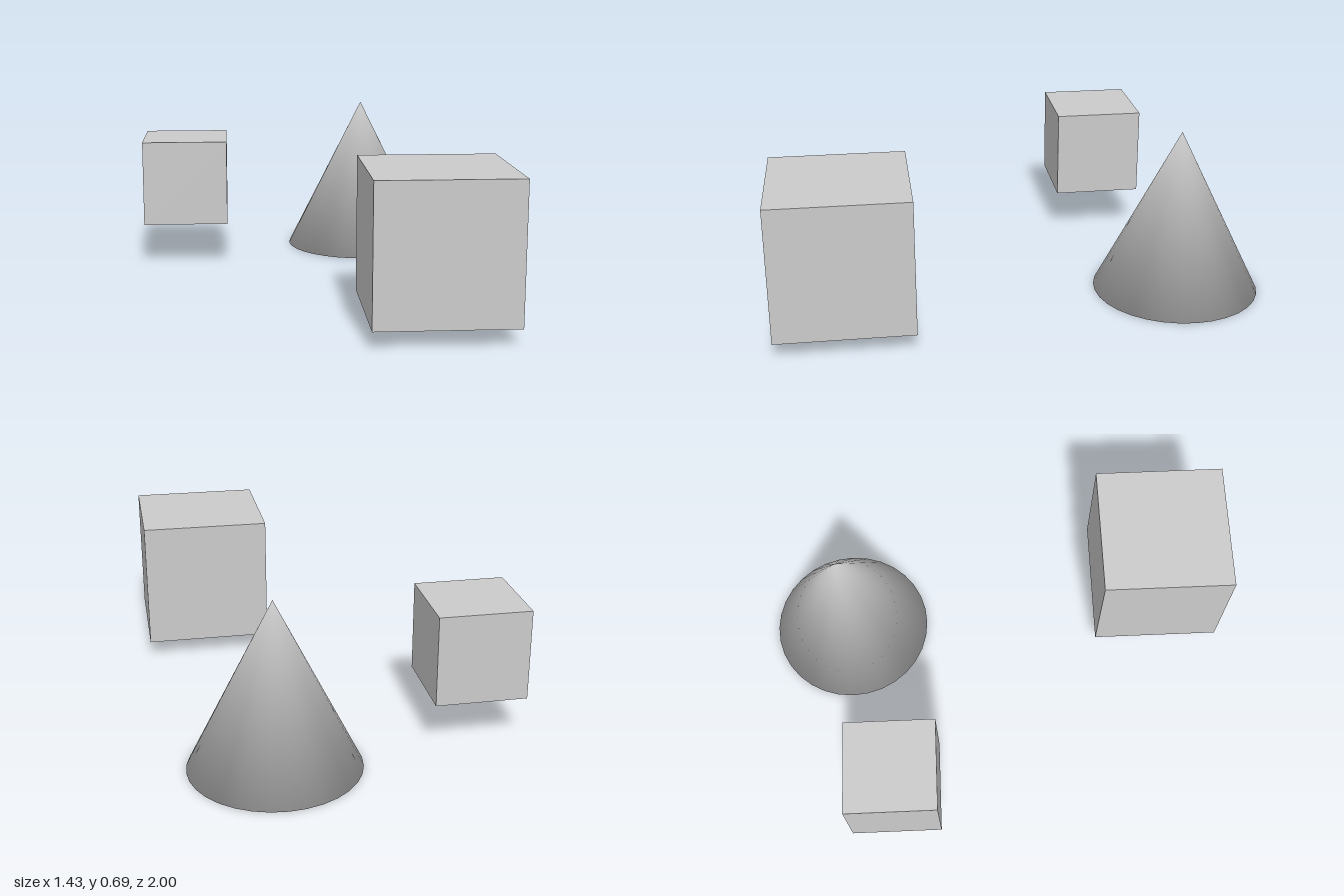
import * as THREE from 'three';

const material = new THREE.MeshStandardMaterial({ color: 0xcccccc });

function addMesh(group, name, geometry, x, y, z) {
  const mesh = new THREE.Mesh(geometry, material);
  mesh.name = name;
  mesh.position.set(x, y, z);
  group.add(mesh);
}

// Closed cone with one shared normal per corner, so shading runs smoothly over the rim
function smoothCone(radius, height, sides) {
  const positions = [];
  const normals = [];
  const index = [];
  const rim = new THREE.Vector3();
  for (let i = 0; i < sides; i++) {
    const a = (i / sides) * Math.PI * 2;
    positions.push(radius * Math.sin(a), 0, radius * Math.cos(a));
    // Rim normal: average of the slope and the downward base
    rim.set(0.85 * Math.sin(a), -0.526, 0.85 * Math.cos(a)).normalize();
    normals.push(rim.x, rim.y, rim.z);
    index.push(i, (i + 1) % sides, sides);
    if (i > 0 && i < sides - 1) index.push(0, i + 1, i);
  }
  // Apex
  positions.push(0, height, 0);
  normals.push(0, 1, 0);

  const geometry = new THREE.BufferGeometry();
  geometry.setAttribute('position', new THREE.Float32BufferAttribute(positions, 3));
  geometry.setAttribute('normal', new THREE.Float32BufferAttribute(normals, 3));
  geometry.setIndex(index);
  return geometry;
}

export function createModel() {
  const group = new THREE.Group();
  group.name = 'floatingCubesAndCone';
  addMesh(group, 'largeCube', new THREE.BoxGeometry(0.545, 0.545, 0.545), 0.44, 0.34, 0.727);
  addMesh(group, 'smallCube', new THREE.BoxGeometry(0.374, 0.374, 0.374), -0.529, 0.371, -0.452);
  addMesh(group, 'cone', smoothCone(0.343, 0.687, 32), 0.3, 0, -0.657);
  return group;
}
